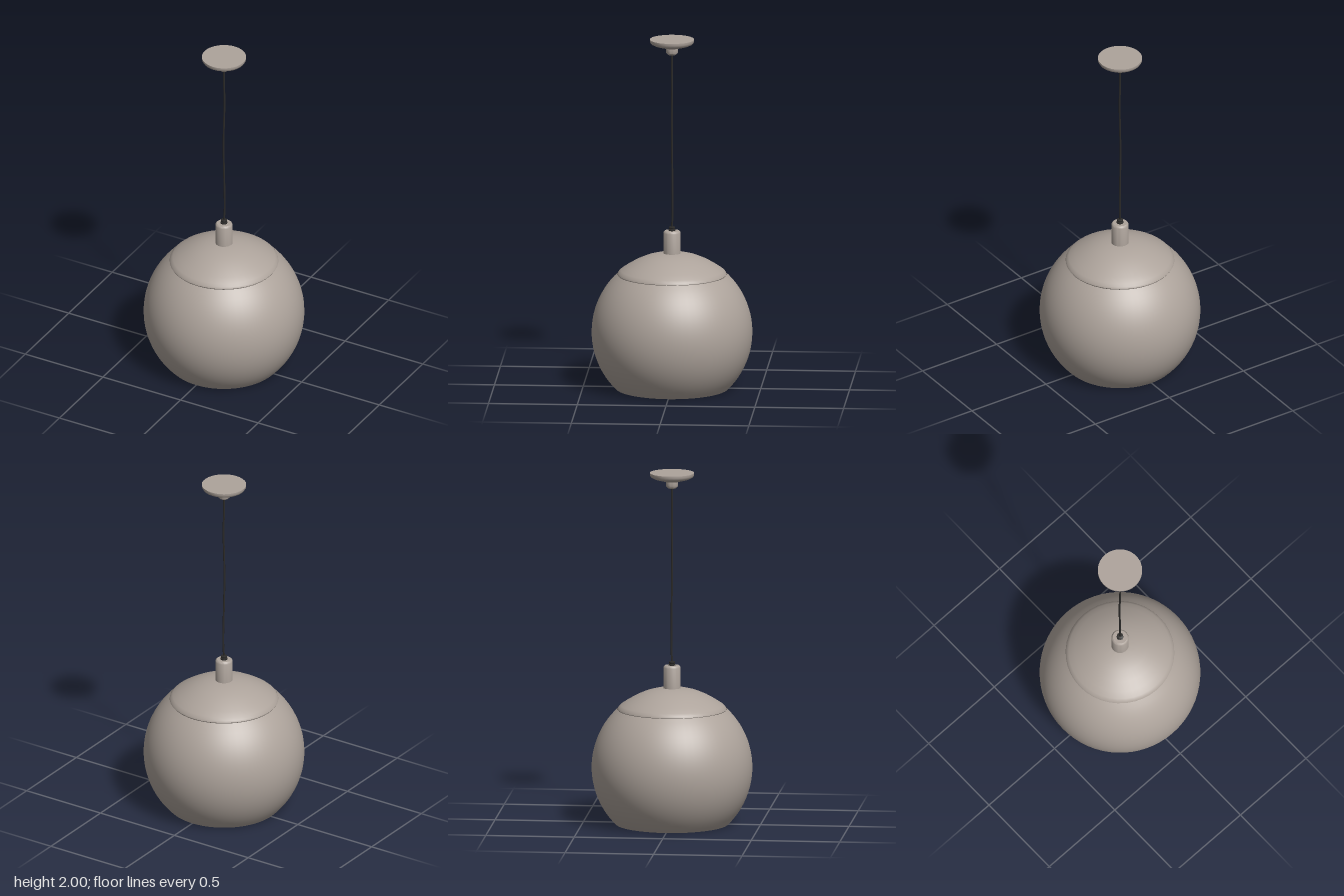
import * as THREE from 'three';
import { toCreasedNormals } from 'three/addons/utils/BufferGeometryUtils.js';

const R = 0.452, CY = 0.32; // globe radius and centre height

export function createModel() {
  const lamp = new THREE.Group();
  lamp.name = 'pendantLamp';
  const metal = new THREE.MeshStandardMaterial({ color: 0xada39b, side: THREE.DoubleSide });
  metal.name = 'warm grey metal';
  const black = new THREE.MeshStandardMaterial({ color: 0x2b2a29 });
  black.name = 'black cord';

  const add = (name, geometry, material) => {
    const mesh = new THREE.Mesh(geometry, material);
    mesh.name = name;
    lamp.add(mesh);
    return mesh;
  };
  // Profiles are [radius, height] pairs, listed from bottom to top
  const turned = (name, profile, segments, material, crease = 0.6) => {
    const points = profile.map(([r, y]) => new THREE.Vector2(r, y));
    return add(name, toCreasedNormals(new THREE.LatheGeometry(points, segments), crease), material);
  };
  // Arc of a sphere between two heights
  const arc = (radius, y0, y1, steps) => {
    const a0 = Math.asin((y0 - CY) / radius), a1 = Math.asin((y1 - CY) / radius);
    return Array.from({ length: steps + 1 }, (_, i) => {
      const a = a0 + (a1 - a0) * i / steps;
      return [radius * Math.cos(a), CY + radius * Math.sin(a)];
    });
  };

  // Open globe: inner wall down to the rim, then the outer wall up to the seam
  const inner = arc(R - 0.008, 0, 0.65, 24).reverse();
  turned('globeShade', [...inner, ...arc(R, 0, 0.65, 24)], 64, metal);

  // Domed cap with a softly rolled edge
  turned('shadeCap', [
    [0.302, 0.645], [0.306, 0.652], [0.302, 0.662], [0.288, 0.675], [0.255, 0.697],
    [0.205, 0.726], [0.15, 0.75], [0.1, 0.764], [0.05, 0.772], [0, 0.774],
  ], 40, metal);

  // Lamp holder above the cap
  turned('socket', [
    [0, 0.755], [0.049, 0.755], [0.049, 0.888], [0.046, 0.896], [0.04, 0.901], [0, 0.901],
  ], 28, metal);

  // Ridged cord grip
  turned('cordGrip', [
    [0.019, 0.899], [0.019, 0.908], [0.014, 0.91], [0.014, 0.914],
    [0.018, 0.916], [0.018, 0.922], [0.008, 0.926], [0, 0.926],
  ], 16, black);

  // Slightly wavy hanging cord
  const path = new THREE.CatmullRomCurve3([
    [0, 0.92, 0], [0.003, 1.0, -0.003], [0, 1.2, -0.002], [-0.003, 1.4, 0],
    [0, 1.55, 0.001], [0.003, 1.7, -0.001], [0, 1.82, 0], [0, 1.93, 0],
  ].map((p) => new THREE.Vector3(...p)));
  add('cord', new THREE.TubeGeometry(path, 48, 0.0055, 8), black);

  // Ceiling canopy with its stem
  turned('ceilingCanopy', [
    [0, 1.912], [0.022, 1.912], [0.033, 1.922], [0.035, 1.93], [0.035, 1.95],
    [0.05, 1.953], [0.075, 1.96], [0.1, 1.967], [0.118, 1.976], [0.125, 1.988],
    [0.125, 2], [0, 2],
  ], 32, metal);

  return lamp;
}
